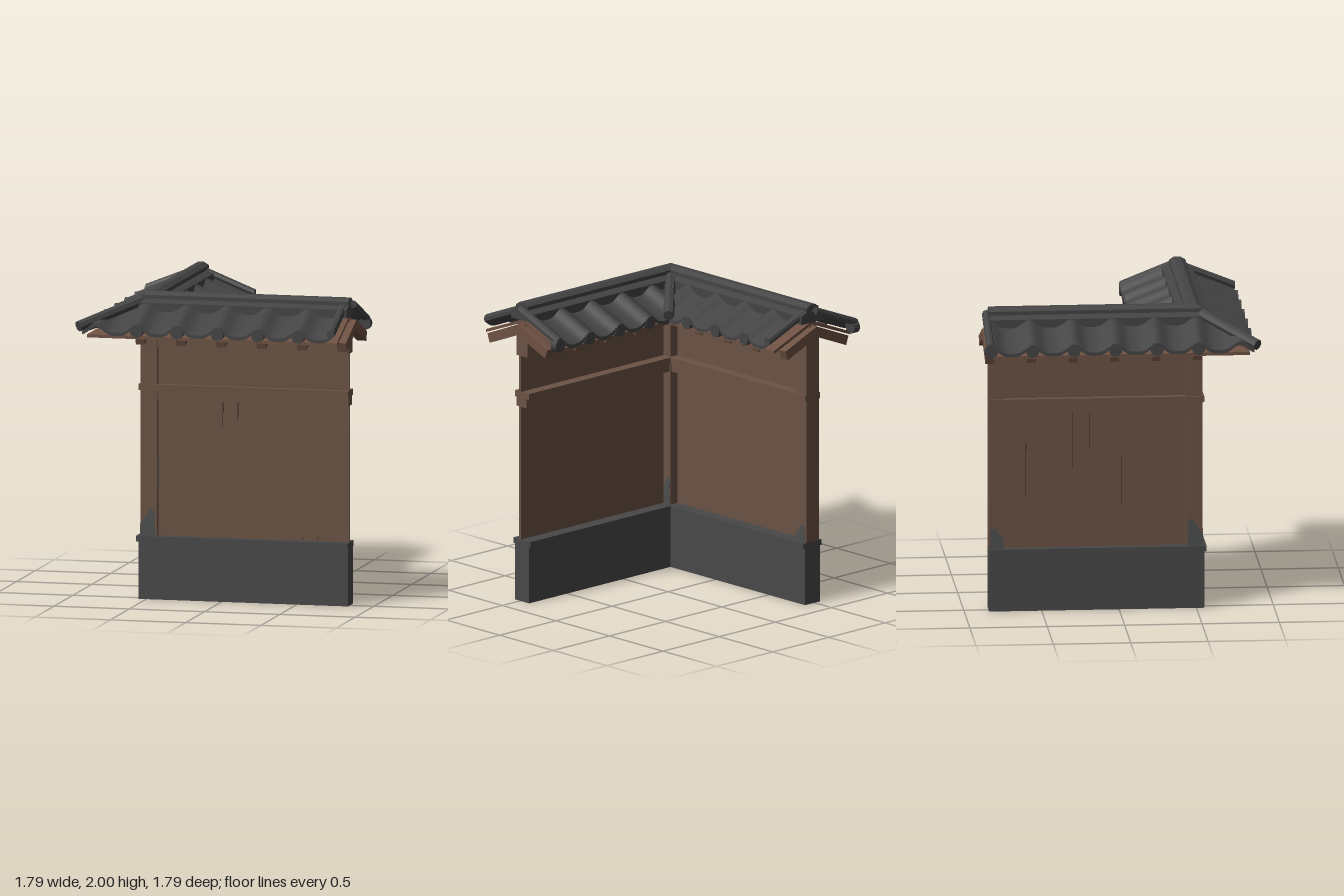
import * as THREE from 'three';
import { toCreasedNormals } from 'three/addons/utils/BufferGeometryUtils.js';

const mat = (name, color) => new THREE.MeshStandardMaterial({ name, color });
const C = 0.485;       // distance of both wall centre lines from the middle
const END = 0.84;      // free end of each wall
const SLOPE = 0.4;     // roof fall per unit
const PITCH = 0.268;   // spacing of tile rolls
const ROLL0 = -0.49;   // first tile roll

export function createModel() {
  const model = new THREE.Group();
  model.name = 'cornerWall';
  const wood = mat('wood', 0x6a5244);
  const rafterWood = mat('rafterWood', 0x6e5142);
  const stone = mat('stone', 0x484848);
  const tile = mat('roofTile', 0x444444);
  const crackDark = mat('crack', 0x2e2420);
  const stain = mat('stain', 0x4d4f4f);

  const arms = ['front', 'side'].map((name) => {
    const g = new THREE.Group();
    g.name = name + 'Wall';
    model.add(g);
    return g;
  });

  // Maps a geometry into wall coordinates (s along, y up, u outward), then onto one arm.
  // Arm 0 runs along +x, arm 1 is its reflection running along -z.
  function place(arm, name, material, geo, map, flip) {
    const g = geo.index ? geo.toNonIndexed() : geo;
    const p = g.attributes.position;
    for (let i = 0; i < p.count; i++) {
      const [s, y, u] = map(p.getX(i), p.getY(i), p.getZ(i));
      if (arm === 0) p.setXYZ(i, s, y, C + u);
      else p.setXYZ(i, -C - u, y, -s);
    }
    if (flip !== (arm === 1)) {
      const a = new THREE.Vector3(), b = new THREE.Vector3();
      for (let i = 0; i < p.count; i += 3) {
        a.fromBufferAttribute(p, i + 1);
        b.fromBufferAttribute(p, i + 2);
        p.setXYZ(i + 1, b.x, b.y, b.z);
        p.setXYZ(i + 2, a.x, a.y, a.z);
      }
    }
    g.clearGroups();
    const mesh = new THREE.Mesh(toCreasedNormals(g, 0.5), material);
    mesh.name = name;
    arms[arm].add(mesh);
  }

  const shape = (pts) => new THREE.Shape(pts.map(([x, y]) => new THREE.Vector2(x, y)));
  const rect = (u0, u1, y0, y1) => [[u0, y0], [u1, y0], [u1, y1], [u0, y1]];

  // Profile (u, y) run along the wall; start null means mitred at the corner
  function run(arm, name, material, profile, start, end) {
    const geo = new THREE.ExtrudeGeometry(shape(profile), { depth: 1, bevelEnabled: false });
    place(arm, name, material, geo,
      (u, y, t) => [t < 0.5 ? (start === null ? -C - u : start) : end, y, u], true);
  }

  // Thin outline (s, y) laid on a wall face at offset u
  function plate(arm, name, material, pts, u) {
    const geo = new THREE.ExtrudeGeometry(shape(pts), { depth: 0.004, bevelEnabled: false });
    place(arm, name, material, geo, (s, y, t) => [s, y, u + t - 0.002], false);
  }

  const wave = (s) => {
    const a = (s - ROLL0) / PITCH * Math.PI * 2;
    return 0.027 * Math.cos(a) + 0.006 * Math.cos(2 * a);
  };

  // One wavy tiled slope, clipped along the corner diagonal
  function tiledSlope(arm, sg, end) {
    const s0 = -C - 0.37;
    place(arm, 'tiledSlope', tile, new THREE.BoxGeometry(1, 1, 1, 84, 1, 8), (x, y, z) => {
      const d = (z + 0.5) * 0.365;
      const s = Math.max(s0 + (x + 0.5) * (end - s0), -C - sg * d);
      return [s, 1.94 - SLOPE * d + wave(s) - (y < 0 ? 0.022 : 0), sg * d];
    }, sg < 0);

    // Round bar along the open end
    const bar = new THREE.CylinderGeometry(0.026, 0.026, 0.36, 8).rotateX(Math.PI / 2);
    place(arm, 'endTile', tile, bar, (x, y, z) => {
      const d = z + 0.19;
      return [x + end - 0.025, y + 1.962 - SLOPE * d, sg * d];
    }, sg < 0);

    // Round eave ends and the rafters below them
    for (let k = sg > 0 ? 0 : 2; k < 6; k++) {
      const s = ROLL0 + k * PITCH;
      if (s < end) {
        const cap = new THREE.CylinderGeometry(0.043, 0.043, 0.05, 12).rotateX(Math.PI / 2);
        place(arm, 'eaveTile', tile, cap,
          (x, y, z) => [x + s, y + 1.787, sg * (z + 0.347)], sg < 0);
      }
      run(arm, 'rafter', rafterWood,
        [[0, 1.79], [sg * 0.26, 1.685], [sg * 0.28, 1.745], [0, 1.86]], s - 0.03, s + 0.03);
    }
  }

  for (const arm of [0, 1]) {
    // Stone footing
    run(arm, 'footing', stone, rect(-0.068, 0.066, 0, 0.376), null, END);
    run(arm, 'footingCap', stone, rect(-0.08, 0.08, 0.375, 0.412), null, END);

    // Timber wall
    run(arm, 'panel', wood, rect(0.008, 0.025, 0.41, 1.65), -0.44, END);
    run(arm, 'middleBeam', wood, rect(-0.045, 0.05, 1.3, 1.36), -0.44, END);
    run(arm, 'rail', wood, rect(-0.066, 0.066, 1.36, 1.4), null, END);
    run(arm, 'topBeam', wood, rect(-0.052, 0.052, 1.64, 1.77), null, END);
    run(arm, 'ridgeBeam', wood, rect(-0.035, 0.035, 1.76, 1.86), null, END);

    // Boarding under the tiles
    run(arm, 'soffit', rafterWood, [[-0.34, 1.732], [0, 1.865], [0.34, 1.732],
      [0.34, 1.752], [0, 1.886], [-0.34, 1.752]], null, 0.835);

    // Tiles: the two slopes stop at different points at the open end
    tiledSlope(arm, 1, arm ? 0.88 : 0.825);
    tiledSlope(arm, -1, arm ? 0.825 : 0.88);

    // Stepped ridge
    run(arm, 'ridgeBase', tile, [[-0.1, 1.88], [0.1, 1.88], [0.1, 1.935], [0.05, 1.957],
      [-0.05, 1.957], [-0.1, 1.935]], null, END);
    run(arm, 'ridgeCap', tile, [[-0.053, 1.95], [0.053, 1.95], [0.053, 1.98], [0.02, 2],
      [-0.02, 2], [-0.053, 1.98]], null, END);
  }

  // Posts at the corner and at the end of the side wall
  run(0, 'cornerPost', wood, rect(-0.055, 0.055, 0.41, 1.78), -0.54, -0.43);
  run(1, 'endPost', wood, rect(-0.055, 0.055, 0.41, 1.78), 0.74, END);

  // Round tiles over the hip and the valley
  for (const [name, sg, d0, d1] of [['hipTile', 1, 0.05, 0.385], ['valleyTile', -1, 0.06, 0.385]]) {
    const at = (d) => new THREE.Vector3(-C - sg * d, 1.962 - SLOPE * d, C + sg * d);
    const a = at(d0), b = at(d1);
    const geo = new THREE.CylinderGeometry(0.036, 0.036, a.distanceTo(b), 8);
    const mesh = new THREE.Mesh(toCreasedNormals(geo, 0.5), tile);
    mesh.name = name;
    mesh.position.copy(a).add(b).multiplyScalar(0.5);
    mesh.quaternion.setFromUnitVectors(new THREE.Vector3(0, 1, 0), b.sub(a).normalize());
    model.add(mesh);
  }

  // Stains at the feet of the posts: arm, left, right, height, face offset
  for (const [arm, s0, s1, h, u] of [[0, -0.538, -0.44, 0.18, 0.056], [1, -0.538, -0.44, 0.18, 0.056],
    [1, -0.5, -0.432, 0.19, -0.056], [1, 0.742, 0.83, 0.12, -0.056], [1, 0.745, 0.838, 0.14, 0.056]]) {
    const w = s1 - s0;
    plate(arm, 'stain', stain, [[s0, 0.412], [s1, 0.412], [s1 - 0.1 * w, 0.412 + h * 0.5],
      [s1, 0.412 + h * 0.85], [s0 + 0.65 * w, 0.412 + h], [s0 + 0.4 * w, 0.412 + h * 0.75],
      [s0, 0.412 + h * 0.45]], u);
  }
  plate(1, 'stain', stain, [[-0.538, 0.72], [-0.515, 0.72], [-0.512, 0.92], [-0.538, 0.93]], -0.056);

  // Cracks in the boards: arm, position, bottom, top
  for (const [arm, s, y0, y1] of [[0, 0, 1.12, 1.3], [0, 0.1, 1.12, 1.3], [0, 0.53, 0.412, 0.44],
    [0, 0.63, 0.412, 0.44], [1, 0.6, 0.6, 1.1], [1, 0.3, 0.85, 1.3], [1, 0.19, 1.0, 1.3],
    [1, -0.02, 0.6, 1.0]]) {
    plate(arm, 'crack', crackDark, [[s - 0.001, y0], [s + 0.003, y1], [s - 0.003, y1]], 0.026);
  }
  return model;
}
